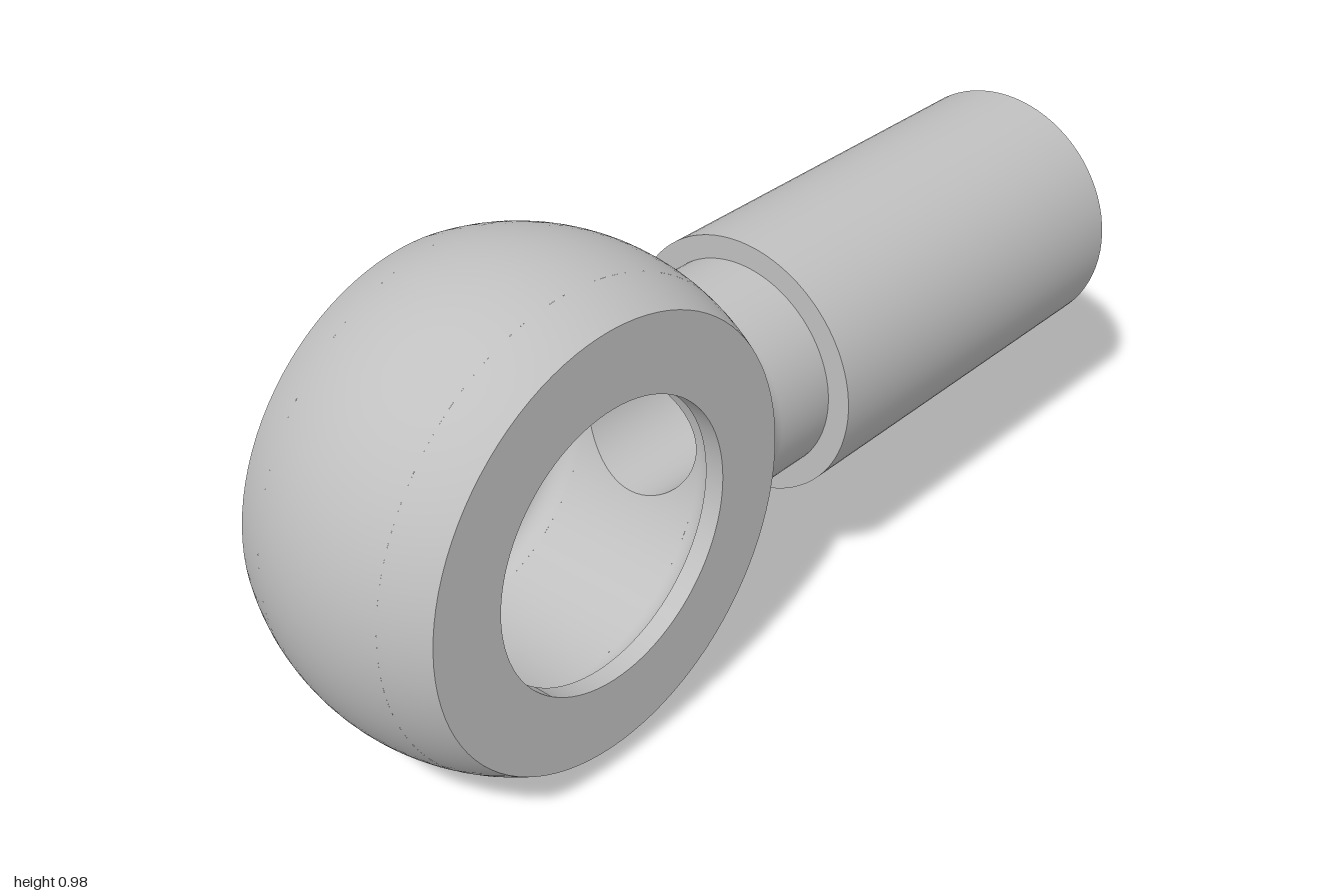
import * as THREE from 'three';
import { mergeGeometries } from 'three/addons/utils/BufferGeometryUtils.js';
import { ParametricGeometry } from 'three/addons/geometries/ParametricGeometry.js';

const CX = -0.512, CY = 0.49;         // centre of the ball
const BALL = 0.49, HALF = 0.235;      // ball radius and half thickness
const BORE = 0.28, GROOVE = 0.32;     // eye radius, groove radius
const PORT = 0.137;                   // fluid channel radius
const PATCH_A = 0.6, PATCH_Z = 0.145; // half size of the patch around the port
const GROOVE_Z = 0.195;

const steel = new THREE.MeshStandardMaterial({ color: 0xc0c0c0 });
steel.name = 'steel';

// Radius along z of the outer ball and of the grooved bore
const ballRadius = z => Math.sqrt(BALL * BALL - z * z);
const boreRadius = z => {
  const t = Math.min(1, Math.max(0, (Math.abs(z) - PATCH_Z) / (GROOVE_Z - PATCH_Z)));
  return BORE + (GROOVE - BORE) * Math.sqrt(1 - t * t);
};

// Surface of revolution about z with a round opening towards +x
function piercedSurface(radius, breaks, inward) {
  const put = (a, z, p) => p.set(radius(z) * Math.cos(a), radius(z) * Math.sin(a), z);
  const parts = [];
  for (let i = 0; i + 1 < breaks.length; i++) {
    const z0 = breaks[i], z1 = breaks[i + 1];
    const gap = z0 === -PATCH_Z ? PATCH_A : 0;
    parts.push(new ParametricGeometry((u, v, p) => {
      const k = inward ? 1 - u : u;
      put(gap + k * (2 * Math.PI - 2 * gap), z0 + v * (z1 - z0), p);
    }, 96, 10));
  }
  // patch blending from the round opening to a rectangle
  parts.push(new ParametricGeometry((u, v, p) => {
    const t = (inward ? u : 1 - u) * 2 * Math.PI;
    const c = Math.cos(t), s = Math.sin(t), m = Math.max(Math.abs(c), Math.abs(s));
    const z = PORT * s, a = Math.asin(PORT * c / radius(z));
    put(a + v * (PATCH_A * c / m - a), z + v * (PATCH_Z * s / m - z), p);
  }, 64, 8));
  return mergeGeometries(parts);
}

// Each profile [radius, x] is turned about the x axis; edges between profiles stay sharp
function turned(...profiles) {
  const g = mergeGeometries(profiles.map(pts =>
    new THREE.LatheGeometry(pts.map(([r, x]) => new THREE.Vector2(r, x)), 80)));
  return g.rotateZ(-Math.PI / 2).translate(0, CY, 0);
}

// Sharp-edged polyline split into single straight profiles
const sharp = pts => pts.slice(1).map((p, i) => [pts[i], p]);

export function createModel() {
  const model = new THREE.Group();
  model.name = 'banjoHoseFitting';
  const add = (name, geometry, parent = model) => {
    const mesh = new THREE.Mesh(geometry, steel);
    mesh.name = name;
    parent.add(mesh);
    return mesh;
  };

  // Ball-shaped eye with flat sides
  const eye = new THREE.Group();
  eye.name = 'eye';
  eye.position.set(CX, CY, 0);
  model.add(eye);
  add('eyeBall', piercedSurface(ballRadius, [-HALF, -PATCH_Z, PATCH_Z, HALF], false), eye);
  add('eyeBore', piercedSurface(boreRadius,
    [-HALF, -GROOVE_Z, -PATCH_Z, PATCH_Z, GROOVE_Z, HALF], true), eye);
  for (const side of [1, -1]) {
    const face = add(side > 0 ? 'frontFace' : 'backFace',
      new THREE.RingGeometry(BORE, ballRadius(HALF), 96), eye);
    face.position.z = side * HALF;
    if (side < 0) face.rotation.y = Math.PI;
  }

  // Neck with a small fillet into the ball
  add('neck', turned([[0.234, -0.085], [0.227, -0.073], [0.223, -0.06], [0.222, -0.045], [0.222, 0.1]]));

  // Crimp sleeve with a tapered pocket
  add('sleeve', turned(...sharp([
    [0.222, 0.095], [0.27, 0.095], [0.27, 1], [0.25, 1], [0.223, 0.3], [0.177, 0.3]])));

  // Inner hose nipple
  add('nipple', turned(...sharp([[0.177, 0.3], [0.163, 1], [PORT, 1]])));

  // Channel from the nipple end into the eye
  add('channel', new ParametricGeometry((u, v, p) => {
    const a = -u * 2 * Math.PI, y = PORT * Math.cos(a);
    const start = CX + Math.sqrt(GROOVE * GROOVE - y * y);
    p.set(start + v * (1 - start), CY + y, PORT * Math.sin(a));
  }, 64, 4));

  return model;
}
